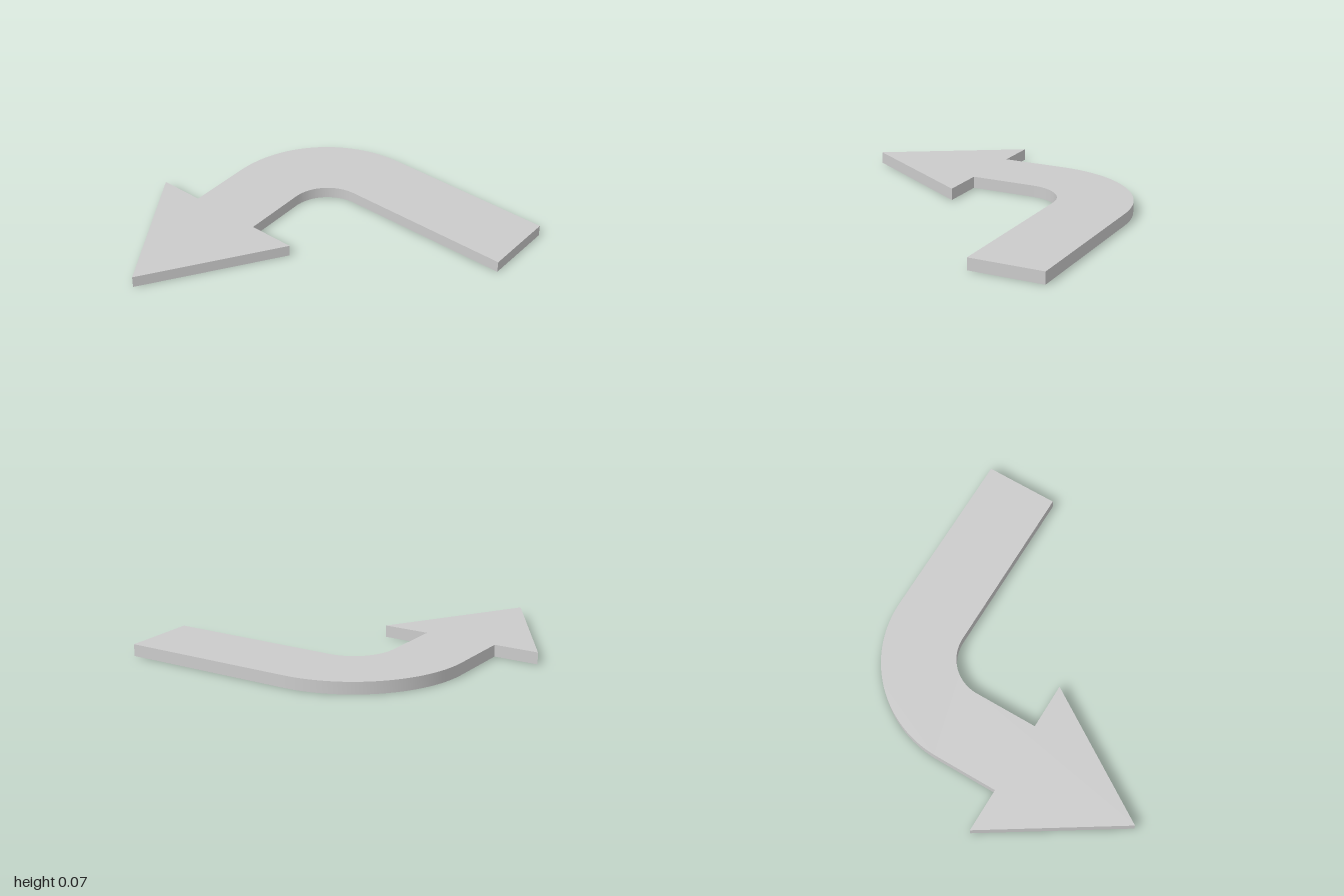
import * as THREE from 'three';
import { toCreasedNormals } from 'three/addons/utils/BufferGeometryUtils.js';

const THICKNESS = 0.07;
const BEND = { x: 0.24, y: 0.04, inner: 0.25, outer: 0.69 };
const HEAD = { base: -0.15, tip: -0.93, low: 0.01, high: 1 };

// Outline on the ground plane: shape y points to the back (-z)
function arrowOutline() {
  const { x, y, inner, outer } = BEND;
  const s = new THREE.Shape();
  // straight tail and outside of the bend
  s.moveTo(x + inner, -1);
  s.lineTo(x + outer, -1);
  s.lineTo(x + outer, y);
  s.absarc(x, y, outer, 0, Math.PI / 2, false);
  // arrow head
  s.lineTo(HEAD.base, y + outer);
  s.lineTo(HEAD.base, HEAD.high);
  s.lineTo(HEAD.tip, (HEAD.low + HEAD.high) / 2);
  s.lineTo(HEAD.base, HEAD.low);
  s.lineTo(HEAD.base, y + inner);
  // inside of the bend
  s.lineTo(x, y + inner);
  s.absarc(x, y, inner, Math.PI / 2, 0, true);
  s.closePath();
  return s;
}

export function createModel() {
  const group = new THREE.Group();
  group.name = 'turnArrow';

  // Flat plate, laid down so its thickness runs up from y = 0
  const plate = new THREE.ExtrudeGeometry(arrowOutline(), {
    depth: THICKNESS, bevelEnabled: false, curveSegments: 32,
  });
  plate.rotateX(-Math.PI / 2);

  const arrow = new THREE.Mesh(
    toCreasedNormals(plate, Math.PI / 6),
    new THREE.MeshStandardMaterial({ color: 0xcccccc }),
  );
  arrow.name = 'arrowPlate';
  group.add(arrow);
  return group;
}
